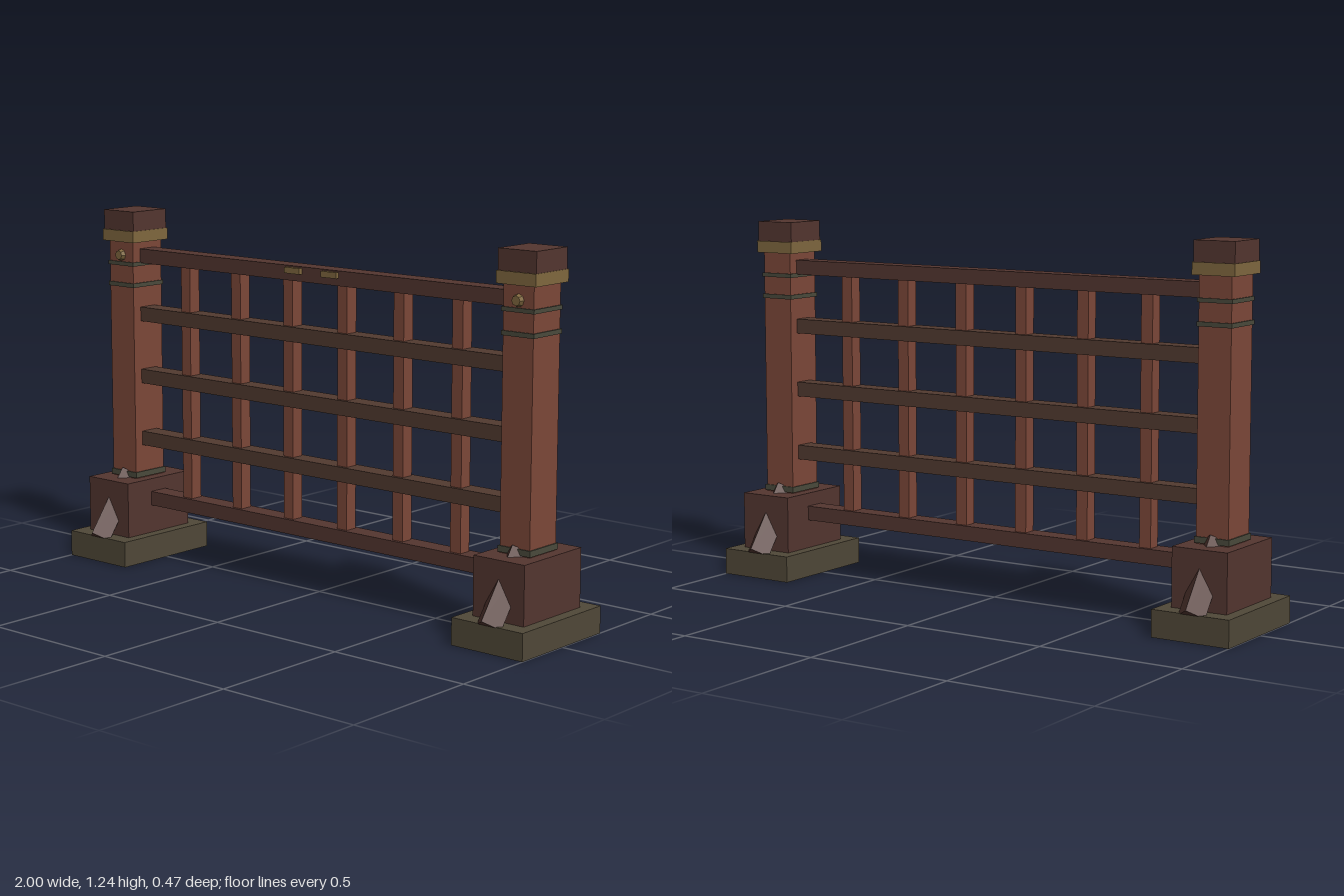
import * as THREE from 'three';

const paint = (name, color) => {
  const m = new THREE.MeshStandardMaterial({ color });
  m.name = name;
  m.flatShading = true;
  return m;
};

export function createModel() {
  const red = paint('red wood', 0x7d4839);
  const dark = paint('dark wood', 0x543630);
  const brown = paint('brown rail wood', 0x523a30);
  const stone = paint('stone', 0x504838);
  const brass = paint('brass', 0x80683f);
  const iron = paint('iron band', 0x4a4a3c);

  const model = new THREE.Group();
  model.name = 'fence';

  const add = (parent, name, geometry, material, x, y, z) => {
    const mesh = new THREE.Mesh(geometry, material);
    mesh.name = name;
    mesh.position.set(x, y, z);
    parent.add(mesh);
    return mesh;
  };
  // Box centred on x and z, spanning y0 to y1
  const slab = (parent, name, material, w, d, y0, y1, x = 0, z = 0) =>
    add(parent, name, new THREE.BoxGeometry(w, y1 - y0, d), material, x, (y0 + y1) / 2, z);

  // Two posts with footing, bands, cap and braces
  for (const side of [-1, 1]) {
    const post = new THREE.Group();
    post.name = side > 0 ? 'leftPost' : 'rightPost';
    post.position.x = side * 0.863;
    model.add(post);

    slab(post, 'plinth', stone, 0.274, 0.416, 0, 0.09);
    slab(post, 'footBlock', dark, 0.196, 0.3, 0.09, 0.285);
    slab(post, 'shaft', red, 0.115, 0.138, 0.285, 1.13);
    for (const [y0, y1] of [[0.288, 0.308], [0.97, 0.985], [1.045, 1.059]])
      slab(post, 'band', iron, 0.124, 0.147, y0, y1);
    slab(post, 'collar', brass, 0.15, 0.17, 1.13, 1.17);
    slab(post, 'cap', dark, 0.145, 0.16, 1.17, 1.238);

    // Round stud on the front face
    const stud = add(post, 'stud', new THREE.CylinderGeometry(0.016, 0.021, 0.016, 8), brass, 0, 1.082, 0.076);
    stud.rotation.x = Math.PI / 2;

    // Leaning diamond-section braces, front and back
    for (const dir of [1, -1]) {
      const brace = add(post, dir > 0 ? 'frontBrace' : 'backBrace',
        new THREE.CylinderGeometry(0.048, 0.048, 0.263, 4), dark, 0, 0.186, dir * 0.119);
      brace.rotation.x = -dir * 0.63;
    }
  }

  // Horizontal rails
  [0.214, 0.428, 0.652, 0.874, 1.08].forEach((y, i) => {
    const outer = i === 0 || i === 4;
    slab(model, 'rail', outer ? dark : brown, 1.64, 0.07, y - 0.025, y + 0.025);
  });

  // Upright bars
  for (let i = 0; i < 6; i++)
    slab(model, 'bar', red, 0.042, 0.046, 0.214, 1.08, (i - 2.5) * 0.238);

  // Small plates on the top rail
  for (const x of [-0.08, 0.08])
    slab(model, 'railPlate', brass, 0.067, 0.014, 1.08, 1.1, x, 0.041);

  return model;
}
